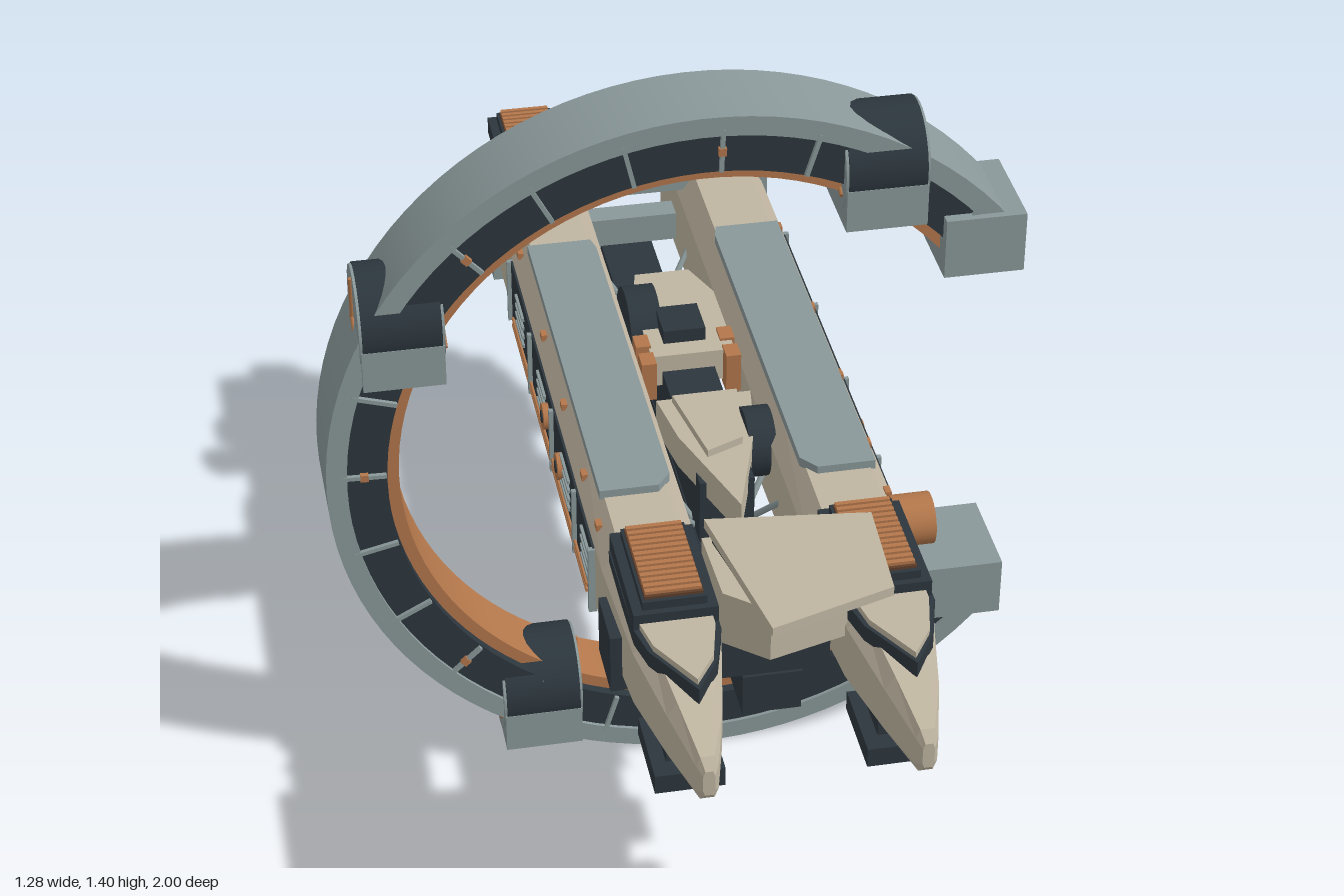
import * as THREE from 'three';
import { toCreasedNormals } from 'three/addons/utils/BufferGeometryUtils.js';

const material = (name, color, extra = {}) => {
  const m = new THREE.MeshStandardMaterial({ color, ...extra });
  m.name = name;
  return m;
};
const hullTan = material('hull tan', 0xbfb5a1);
const darkSlate = material('dark slate', 0x2c363d);
const steelGrey = material('steel grey', 0x8a9899);
const copper = material('copper', 0xb3774b);
const rust = material('dark rust', 0x5e3d29);

function add(parent, name, geo, mat, x = 0, y = 0, z = 0) {
  const m = new THREE.Mesh(geo, mat);
  m.name = name;
  m.position.set(x, y, z);
  parent.add(m);
  return m;
}
// Box given by its lowest and highest coordinates
const box = (parent, name, mat, x0, x1, y0, y1, z0, z1) =>
  add(parent, name, new THREE.BoxGeometry(Math.abs(x1 - x0), y1 - y0, z1 - z0), mat,
    (x0 + x1) / 2, (y0 + y1) / 2, (z0 + z1) / 2);
// Flat plate from [x, z] corners
function plate(parent, name, mat, pts, y, h) {
  const shape = new THREE.Shape(pts.map(([x, z]) => new THREE.Vector2(x, -z)));
  const geo = new THREE.ExtrudeGeometry(shape, { depth: h, bevelEnabled: false });
  return add(parent, name, geo.rotateX(-Math.PI / 2), mat, 0, y, 0);
}
// Cylinder lying along x or z
function rod(parent, name, mat, axis, r, len, x, y, z, r2 = r) {
  const geo = new THREE.CylinderGeometry(r, r2, len, 28);
  if (axis === 'x') geo.rotateZ(-Math.PI / 2); else geo.rotateX(Math.PI / 2);
  return add(parent, name, geo, mat, x, y, z);
}
// Thin strut between two points
function strut(parent, name, mat, a, b, r) {
  const p = new THREE.Vector3(...a), q = new THREE.Vector3(...b);
  const m = add(parent, name, new THREE.CylinderGeometry(r, r, p.distanceTo(q), 8), mat);
  m.position.copy(p).add(q).multiplyScalar(0.5);
  m.quaternion.setFromUnitVectors(new THREE.Vector3(0, 1, 0), q.sub(p).normalize());
}

// Chamfered hull: stations are [z, half width, bottom, top]
function hullGeometry(stations) {
  const rings = stations.map(([z, w, b, t]) => {
    const cx = w * 0.36, cy = (t - b) * 0.2;
    return [[w, b + cy], [w, t - cy], [w - cx, t], [cx - w, t],
      [-w, t - cy], [-w, b + cy], [cx - w, b], [w - cx, b]].map(([x, y]) => [x, y, z]);
  });
  const pos = [];
  const tri = (...c) => c.forEach(p => pos.push(...p));
  for (let i = 0; i + 1 < rings.length; i++) {
    for (let j = 0; j < 8; j++) {
      const k = (j + 1) % 8, a = rings[i], b = rings[i + 1];
      tri(a[j], a[k], b[k]);
      tri(a[j], b[k], b[j]);
    }
  }
  const first = rings[0], last = rings[rings.length - 1];
  for (let j = 1; j < 7; j++) {
    tri(first[0], first[j + 1], first[j]);
    tri(last[0], last[j], last[j + 1]);
  }
  const geo = new THREE.BufferGeometry();
  geo.setAttribute('position', new THREE.Float32BufferAttribute(pos, 3));
  geo.computeVertexNormals();
  return geo;
}

// Slatted vent on a stepped dark base
function louvre(parent, z0, z1) {
  const g = new THREE.Group();
  g.name = 'louvre';
  box(g, 'ventBase', darkSlate, -0.072, 0.072, 0.815, 0.85, z0 - 0.02, z1 + 0.02);
  box(g, 'ventBlock', darkSlate, -0.055, 0.055, 0.85, 0.866, z0 - 0.008, z1 + 0.008);
  box(g, 'ventBed', rust, -0.05, 0.05, 0.866, 0.871, z0, z1);
  const n = 13, step = (z1 - z0) / n;
  for (let i = 0; i < n; i++)
    box(g, 'ventSlat', copper, -0.048, 0.048, 0.87, 0.877, z0 + i * step, z0 + (i + 0.6) * step);
  parent.add(g);
}

function buildHull(s) {
  const g = new THREE.Group();
  g.name = s > 0 ? 'leftHull' : 'rightHull';
  g.position.x = s * 0.182;
  add(g, 'hullBody', hullGeometry([[-0.95, 0.074, 0.615, 0.81], [-0.88, 0.088, 0.595, 0.823],
    [0.1, 0.088, 0.595, 0.823], [0.5, 0.088, 0.617, 0.823], [0.73, 0.075, 0.64, 0.812],
    [0.88, 0.046, 0.656, 0.79], [0.985, 0.019, 0.672, 0.76], [1, 0.01, 0.69, 0.74]]), hullTan);
  louvre(g, 0.51, 0.7);
  louvre(g, -0.92, -0.73);
  // Stepped dorsal slab ending in a chevron
  const slab = k => [[-0.075 * k, 0.5], [0.075 * k, 0.5], [0.072 * k, 0.74], [0.05 * k, 0.82],
    [0.005, 0.8 + 0.09 * k], [-0.058 * k, 0.78], [-0.072 * k, 0.72]];
  plate(g, 'noseSlabEdge', darkSlate, slab(1), 0.79, 0.03);
  plate(g, 'noseSlab', hullTan, slab(0.86), 0.82, 0.012);
  // Long dorsal armour
  plate(g, 'dorsalPanel', steelGrey, [[-0.065, -0.46], [0.058, -0.46], [0.065, -0.43],
    [0.065, 0.32], [0.04, 0.352], [-0.065, 0.352]].map(([x, z]) => [-s * x, z]).sort(() => 0), 0.82, 0.018);
  // Outer side gallery
  const x0 = s * 0.086, x1 = s * 0.092, x2 = s * 0.1;
  box(g, 'galleryBack', darkSlate, x0, x1, 0.64, 0.775, -0.51, 0.43);
  for (const z of [0.43, 0.257, 0.005, -0.25, -0.51])
    box(g, 'galleryPost', steelGrey, x0, x2, 0.64, 0.775, z - 0.005, z + 0.005);
  for (const z of [0.37, 0.15, -0.12, -0.385])
    for (let i = 0; i < 4; i++)
      box(g, 'gallerySlat', steelGrey, x0, s * 0.097, 0.683 + i * 0.02, 0.69 + i * 0.02, z - 0.045, z + 0.045);
  for (const z of [0.107, -0.053]) {
    rod(g, 'valve', copper, 'x', 0.025, 0.02, s * 0.094, 0.722, z);
    rod(g, 'valveCore', darkSlate, 'x', 0.012, 0.024, s * 0.094, 0.722, z);
  }
  for (const y of [0.653, 0.667])
    rod(g, 'pipe', copper, 'z', 0.003, 0.86, s * 0.096, y, -0.04);
  for (const z of [-0.49, -0.2, 0.03, 0.25, 0.4])
    box(g, 'marker', copper, s * 0.07, s * 0.081, 0.795, 0.808, z - 0.01, z + 0.01);
  // Side locker and belly blocks
  box(g, 'sideLocker', darkSlate, s * 0.05, s * 0.1, 0.636, 0.75, 0.535, 0.65);
  box(g, 'noseSkid', darkSlate, -0.06, 0.06, 0.568, 0.605, 0.69, 0.845);
  box(g, 'noseSkidMount', darkSlate, -0.035, 0.035, 0.6, 0.67, 0.72, 0.81);
  box(g, 'midSkid', darkSlate, -0.06, 0.06, 0.557, 0.6, -0.64, -0.48);
  box(g, 'rearSkid', darkSlate, -0.06, 0.06, 0.572, 0.61, -0.9, -0.75);
  // Rear clamp down the outside
  box(g, 'clampSide', steelGrey, s * 0.08, s * 0.1, 0.605, 0.84, -0.785, -0.71);
  box(g, 'clampTop', steelGrey, -0.095, 0.095, 0.815, 0.84, -0.785, -0.69);
  // Stacked thrusters
  for (const y of [0.762, 0.66]) {
    rod(g, 'thruster', steelGrey, 'z', 0.04, 0.06, 0, y, -0.965, 0.05);
    add(g, 'thrusterRim', new THREE.TorusGeometry(0.042, 0.008, 8, 28), steelGrey, 0, y, -0.992);
    rod(g, 'thrusterGlow', copper, 'z', 0.034, 0.01, 0, y, -0.993);
  }
  return g;
}

function buildCore() {
  const g = new THREE.Group();
  g.name = 'core';
  box(g, 'spine', darkSlate, -0.052, 0.052, 0.55, 0.63, -0.77, 0.65);
  // Lattice between the spine and the hulls
  for (const s of [-1, 1])
    for (const z of [-0.55, -0.25, 0.2, 0.5]) {
      strut(g, 'lattice', steelGrey, [s * 0.04, 0.62, z], [s * 0.1, 0.7, z + 0.06], 0.006);
      strut(g, 'lattice', steelGrey, [s * 0.04, 0.62, z], [s * 0.1, 0.7, z - 0.06], 0.006);
    }
  // Rear crossbeams
  for (const z of [-0.775, -0.735, -0.695])
    box(g, 'crossBeam', steelGrey, -0.13, 0.13, 0.79, 0.815, z - 0.01, z + 0.01);
  box(g, 'rearTie', steelGrey, -0.1, 0.1, 0.66, 0.72, -0.76, -0.71);
  // Forward bridge with its skewed roof
  box(g, 'bridgeBase', darkSlate, -0.1, 0.1, 0.635, 0.755, 0.54, 0.65);
  box(g, 'bridgeSill', steelGrey, -0.105, 0.105, 0.72, 0.755, 0.53, 0.655);
  plate(g, 'bridgeBody', hullTan, [[-0.105, 0.545], [0.11, 0.545], [0.11, 0.72], [-0.03, 0.76], [-0.1, 0.7]], 0.755, 0.105);
  plate(g, 'roofEdge', darkSlate, [[-0.09, 0.56], [0.16, 0.56], [0.155, 0.76], [-0.04, 0.82]], 0.86, 0.018);
  plate(g, 'bridgeRoof', hullTan, [[-0.1, 0.54], [0.183, 0.574], [0.172, 0.78], [-0.048, 0.85]], 0.878, 0.018);
  // Midship modules
  box(g, 'midPedestal', darkSlate, -0.05, 0.05, 0.62, 0.76, -0.36, 0.26);
  plate(g, 'aftModule', hullTan, [[-0.05, -0.385], [0.055, -0.385], [0.088, -0.3], [0.088, -0.1],
    [-0.07, -0.1], [-0.07, -0.3]], 0.73, 0.065);
  box(g, 'hatch', darkSlate, -0.04, 0.04, 0.79, 0.822, -0.225, -0.14);
  rod(g, 'aftDrum', darkSlate, 'x', 0.085, 0.06, -0.062, 0.75, -0.265);
  plate(g, 'foreModule', hullTan, [[-0.088, 0.04], [0.088, 0.04], [0.07, 0.16], [0, 0.38], [-0.07, 0.16]], 0.73, 0.065);
  plate(g, 'foreModuleTop', hullTan, [[-0.06, 0.05], [0.06, 0.05], [0.04, 0.2], [-0.03, 0.23]], 0.795, 0.015);
  rod(g, 'foreDrum', darkSlate, 'x', 0.065, 0.05, 0.08, 0.75, 0.135);
  for (const s of [-1, 1])
    for (const z of [-0.15, -0.09])
      box(g, 'fuelCell', copper, s * 0.066, s * 0.094, 0.72, 0.8, z - 0.02, z + 0.02);
  // Side sensor drums
  for (const [x, z] of [[0.278, 0.485], [-0.278, -0.64]]) {
    rod(g, 'sensorDrum', copper, 'x', 0.046, 0.07, x, 0.802, z);
    rod(g, 'sensorLens', darkSlate, 'x', 0.028, 0.074, x, 0.802, z);
    rod(g, 'sensorPin', copper, 'x', 0.015, 0.078, x, 0.802, z);
  }
  return g;
}

function buildRing() {
  const g = new THREE.Group();
  g.name = 'openRing';
  g.position.y = 0.703;
  const rad = THREE.MathUtils.degToRad, mid = 0.636;
  // Nested bands swept round the open circle
  const band = (name, mat, ri, ro, w) => {
    const pts = [[ri, -w], [ro, -w], [ro, w], [ri, w], [ri, -w]].map(p => new THREE.Vector2(...p));
    const geo = new THREE.LatheGeometry(pts, 80, rad(128), rad(284)).rotateX(Math.PI / 2);
    add(g, name, toCreasedNormals(geo, 0.5), mat);
  };
  band('outerShell', steelGrey, 0.664, 0.702, 0.083);
  band('innerBand', darkSlate, 0.59, 0.667, 0.076);
  band('copperLiner', copper, 0.567, 0.593, 0.058);
  // Radial ribs
  for (let a = 43; a <= 313; a += 15) {
    const rib = new THREE.Group();
    rib.name = 'rib';
    rib.rotation.z = rad(a);
    box(rib, 'ribBar', steelGrey, 0.592, 0.676, -0.004, 0.004, -0.084, 0.084);
    if (a % 45 === 43) box(rib, 'ribNode', copper, 0.625, 0.64, -0.007, 0.007, -0.086, 0.086);
    g.add(rib);
  }
  // Joint drums with spoked caps and a housing below
  for (const a of [60, 150, 240]) {
    const j = new THREE.Group();
    j.name = 'joint';
    j.position.set(mid * Math.cos(rad(a)), mid * Math.sin(rad(a)), 0);
    rod(j, 'jointDrum', darkSlate, 'x', 0.098, 0.142, 0, 0, 0);
    box(j, 'jointHousing', steelGrey, -0.074, 0.074, -0.1, -0.018, -0.097, 0.097);
    for (const s of [-1, 1]) {
      rod(j, 'jointCap', steelGrey, 'x', 0.095, 0.006, s * 0.073, 0, 0);
      for (let i = 0; i < 3; i++) {
        const t = rad(90 + i * 120);
        strut(j, 'capSpoke', copper, [s * 0.077, 0, 0], [s * 0.077, 0.08 * Math.sin(t), 0.08 * Math.cos(t)], 0.005);
      }
    }
    g.add(j);
  }
  // End blocks
  for (const s of [-1, 1])
    box(g, 'endBlock', steelGrey, 0.428, 0.576, s * 0.392 - 0.059, s * 0.392 + 0.059, -0.097, 0.097);
  return g;
}

export function createModel() {
  const model = new THREE.Group();
  model.name = 'ringShip';
  const ship = new THREE.Group();
  ship.name = 'ship';
  ship.position.x = 0.06;
  ship.add(buildHull(1), buildHull(-1), buildCore(), buildRing());
  model.add(ship);
  return model;
}
